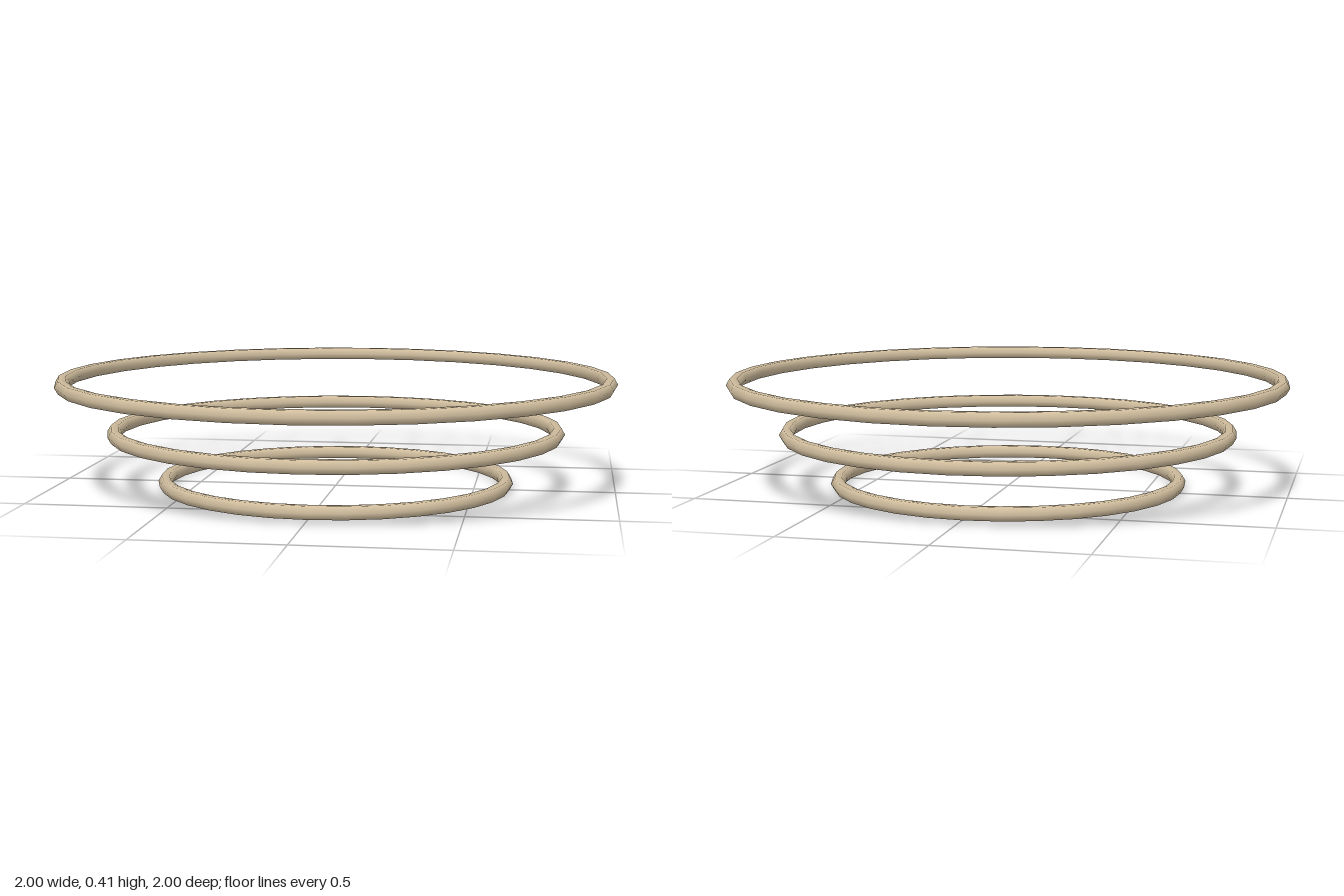
import * as THREE from 'three';

export function createModel() {
  const model = new THREE.Group();
  model.name = 'steppedRings';

  const tan = new THREE.MeshStandardMaterial({ color: 0xd2bf9f });
  tan.name = 'tan';

  const tube = 0.026;
  const halfHeight = tube * Math.sin(Math.PI / 3); // six-sided tube lies flat

  // Three level hoops, widening upwards
  const rings = [
    ['lowerRing', 0.614, 0],
    ['middleRing', 0.794, 0.181],
    ['upperRing', 0.974, 0.362],
  ];
  for (const [name, radius, lift] of rings) {
    const geometry = new THREE.TorusGeometry(radius, tube, 6, 32);
    geometry.rotateX(Math.PI / 2);
    const ring = new THREE.Mesh(geometry, tan);
    ring.name = name;
    ring.position.y = halfHeight + lift;
    model.add(ring);
  }
  return model;
}
